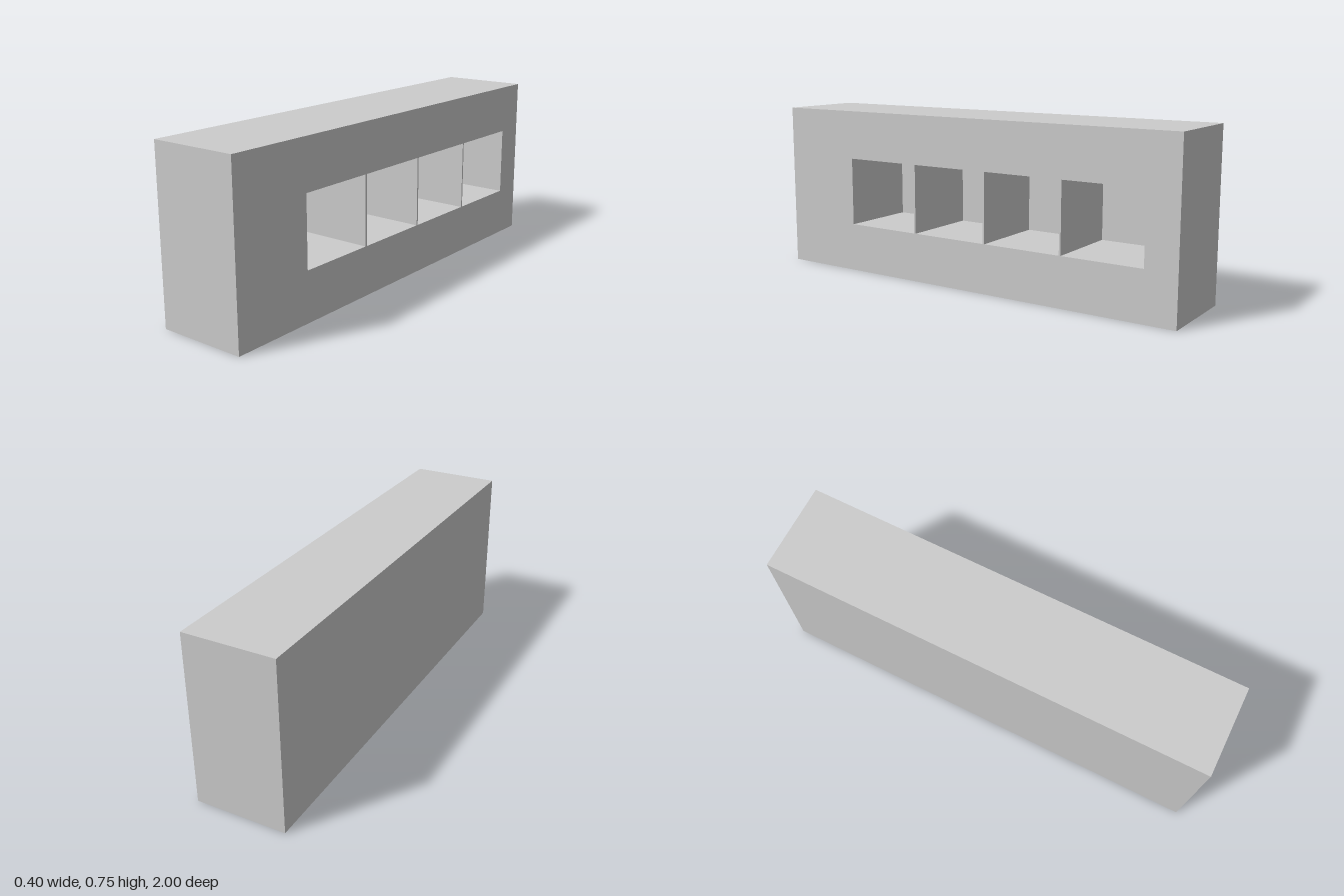
import * as THREE from 'three';

const W = 0.4, H = 0.75, L = 2;            // block size along x, y, z
const DEPTH = 0.36;                        // pocket depth
const Y0 = 0.22, Y1 = 0.53;                // pocket floor and ceiling
const CELL = 0.364, PITCH = 0.372, FIRST_Z = 0.62;

// Box without its +x face (the first six indices)
function openBox(w, h, l) {
  const g = new THREE.BoxGeometry(w, h, l);
  g.setIndex(Array.from(g.index.array).slice(6));
  g.clearGroups();
  return g;
}

// Turn a geometry inside out
function invert(g) {
  g.setIndex(Array.from(g.index.array).reverse());
  const n = g.attributes.normal;
  for (let i = 0; i < n.count; i++) n.setXYZ(i, -n.getX(i), -n.getY(i), -n.getZ(i));
  return g;
}

function rect(path, u0, v0, u1, v1) {
  path.moveTo(u0, v0);
  path.lineTo(u1, v0);
  path.lineTo(u1, v1);
  path.lineTo(u0, v1);
  path.closePath();
  return path;
}

export function createModel() {
  const group = new THREE.Group();
  group.name = 'blockWithPockets';
  const material = new THREE.MeshStandardMaterial({ color: 0xcccccc });
  const add = (name, geometry) => {
    const mesh = new THREE.Mesh(geometry, material);
    mesh.name = name;
    group.add(mesh);
  };

  // Outer walls of the block
  add('body', openBox(W, H, L).translate(0, H / 2, 0));

  // Face with four openings (shape u runs along -z), and the pockets behind them
  const face = rect(new THREE.Shape(), -L / 2, 0, L / 2, H);
  for (let i = 0; i < 4; i++) {
    const z = FIRST_Z - i * PITCH;
    face.holes.push(rect(new THREE.Path(), -z, Y0, -z + CELL, Y1));
    const pocket = invert(openBox(DEPTH, Y1 - Y0, CELL));
    add(`pocket${i + 1}`, pocket.translate((W - DEPTH) / 2, (Y0 + Y1) / 2, z - CELL / 2));
  }
  add('openFace', new THREE.ShapeGeometry(face).rotateY(Math.PI / 2).translate(W / 2, 0, 0));

  return group;
}
